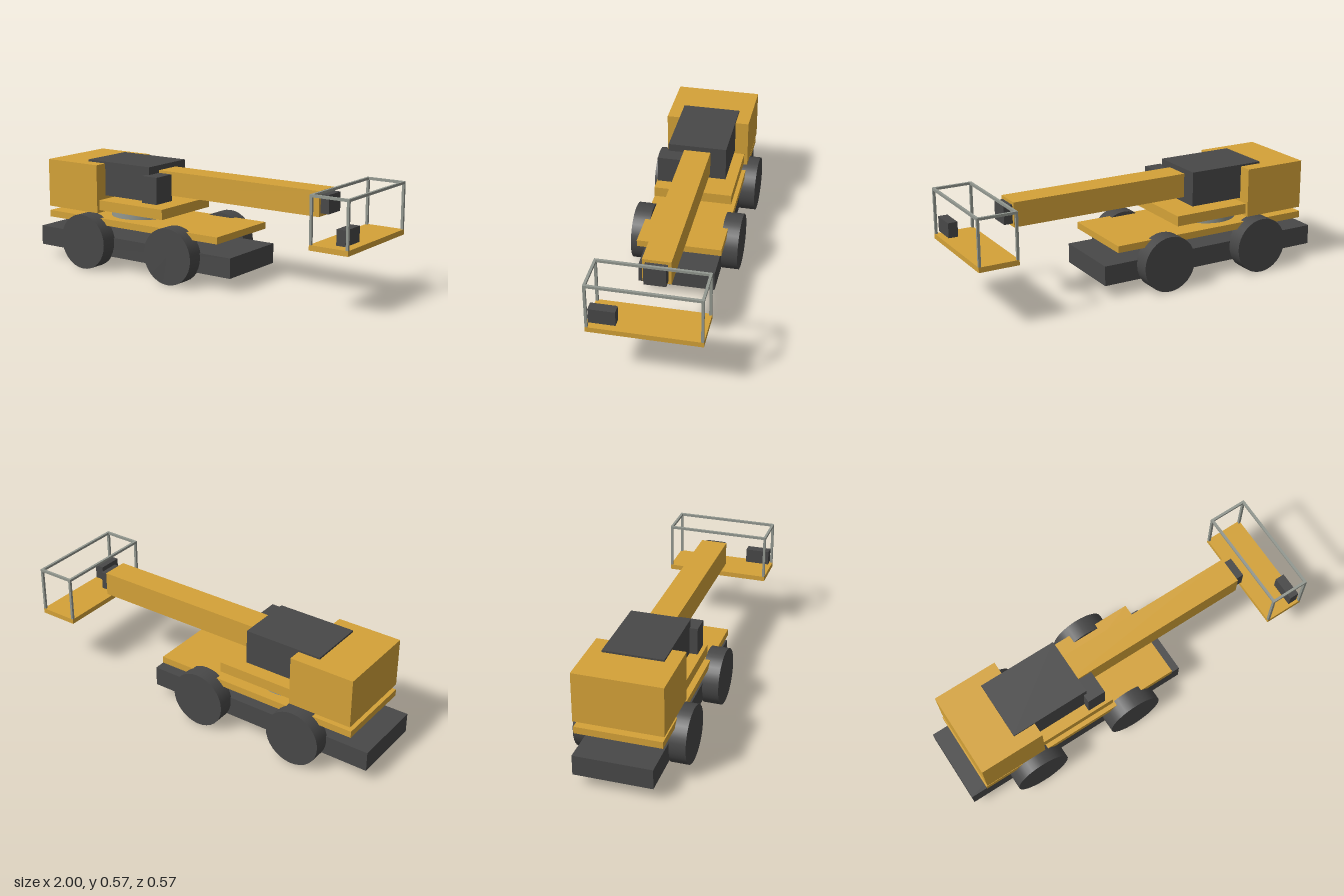
import * as THREE from 'three';

const material = (name, color) => {
  const m = new THREE.MeshStandardMaterial({ color });
  m.name = name;
  return m;
};

export function createModel() {
  const model = new THREE.Group();
  model.name = 'boomLift';
  const yellow = material('machineYellow', 0xd4a238);
  const dark = material('darkGrey', 0x484848);
  const steel = material('steelGrey', 0x939890);

  const add = (name, geometry, mat, parent = model) => {
    const mesh = new THREE.Mesh(geometry, mat);
    mesh.name = name;
    parent.add(mesh);
    return mesh;
  };
  // Box given by its extents on each axis
  const box = (name, mat, [x0, x1], [y0, y1], [z0, z1], parent) => {
    const mesh = add(name, new THREE.BoxGeometry(x1 - x0, y1 - y0, z1 - z0), mat, parent);
    mesh.position.set((x0 + x1) / 2, (y0 + y1) / 2, (z0 + z1) / 2);
    return mesh;
  };

  // Undercarriage
  box('chassis', dark, [-1, 0.285], [0.068, 0.174], [-0.2, 0.2]);
  box('deck', yellow, [-0.915, 0.22], [0.241, 0.277], [-0.221, 0.221]);
  for (const x of [-0.622, -0.05]) {
    for (const side of [-1, 1]) {
      const wheel = add('wheel', new THREE.CylinderGeometry(0.149, 0.149, 0.091, 32), dark);
      wheel.rotation.x = Math.PI / 2;
      wheel.position.set(x, 0.149, side * 0.2395);
    }
  }

  // Turntable
  const ring = add('slewRing', new THREE.CylinderGeometry(0.165, 0.165, 0.045, 40), steel);
  ring.position.set(-0.44, 0.2975, 0);
  box('turntable', yellow, [-0.74, -0.14], [0.317, 0.371], [-0.208, 0.208]);
  box('counterweight', yellow, [-0.91, -0.565], [0.303, 0.564], [-0.226, 0.226]);
  box('engineHousing', dark, [-0.685, -0.263], [0.39, 0.574], [-0.155, 0.155]);
  box('controlBox', dark, [-0.28, -0.182], [0.39, 0.533], [0.065, 0.197]);

  // Slanted lift cylinder under the boom
  const from = new THREE.Vector3(-0.594, 0.251, 0);
  const to = new THREE.Vector3(-0.276, 0.434, 0);
  const ram = add('liftCylinder', new THREE.CylinderGeometry(0.03, 0.03, from.distanceTo(to), 24), dark);
  ram.position.copy(from).lerp(to, 0.5);
  ram.quaternion.setFromUnitVectors(new THREE.Vector3(0, 1, 0), to.clone().sub(from).normalize());

  // Boom
  box('boom', yellow, [-0.44, 0.718], [0.419, 0.547], [-0.071, 0.071]);
  box('boomExtension', dark, [0.3, 0.764], [0.435, 0.531], [-0.055, 0.055]);

  // Work platform with open guard rails
  const platform = new THREE.Group();
  platform.name = 'workPlatform';
  model.add(platform);
  const t = 0.013;
  box('platformFloor', yellow, [0.79, 1], [0.305, 0.332], [-0.28, 0.28], platform);
  for (const z of [-0.28, 0.28 - t]) {
    box('sideRail', steel, [0.79, 1], [0.561, 0.574], [z, z + t], platform);
    for (const x of [0.79, 1 - t]) {
      box('railPost', steel, [x, x + t], [0.332, 0.561], [z, z + t], platform);
    }
  }
  for (const x of [0.79, 1 - t]) {
    box('endRail', steel, [x, x + t], [0.561, 0.574], [-0.28 + t, 0.28 - t], platform);
  }
  box('platformControls', dark, [0.93, 0.98], [0.346, 0.424], [0.137, 0.268], platform);

  return model;
}
